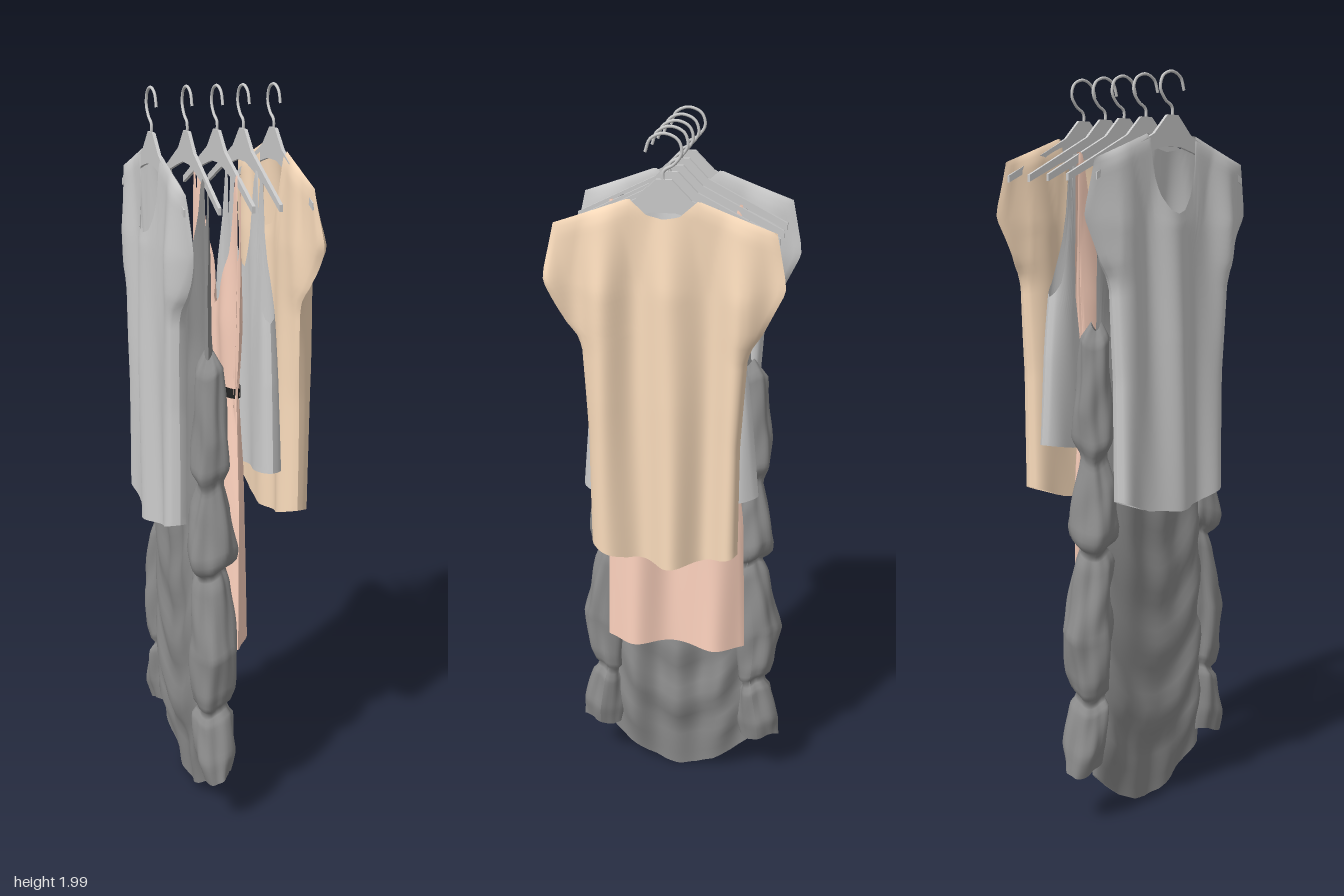
import * as THREE from 'three';

const clamp = THREE.MathUtils.clamp;
const cloth = (color) => new THREE.MeshStandardMaterial({ color, side: THREE.DoubleSide });

// Piecewise-linear rule through ascending [input, output] pairs
function rule(points) {
  return (v) => {
    if (v <= points[0][0]) return points[0][1];
    for (let i = 1; i < points.length; i++) {
      const [a, p] = points[i - 1], [b, q] = points[i];
      if (v <= b) return p + (q - p) * (v - a) / (b - a);
    }
    return points[points.length - 1][1];
  };
}

// Grid surface from a point function f(u, v), u and v in 0..1
function surface(f, nu, nv, flip) {
  const pos = [], idx = [];
  for (let j = 0; j <= nv; j++) for (let i = 0; i <= nu; i++) pos.push(...f(i / nu, j / nv));
  for (let j = 0; j < nv; j++) for (let i = 0; i < nu; i++) {
    const a = j * (nu + 1) + i, b = a + 1, c = a + nu + 1, d = c + 1;
    if (flip) idx.push(a, b, c, b, d, c);
    else idx.push(a, c, b, b, c, d);
  }
  const g = new THREE.BufferGeometry();
  g.setAttribute('position', new THREE.Float32BufferAttribute(pos, 3));
  g.setIndex(idx);
  g.computeVertexNormals();
  return g;
}

// Hanging garment: a front (-x) and a back (+x) panel that meet at the side edges
function garment(name, { curl = 0, grow = 0, swag = 0, pinch = 0.25, ...o }) {
  const group = new THREE.Group();
  group.name = name;
  const width = rule(o.width), depth = rule(o.depth), shoulder = rule(o.shoulder);
  for (const side of [-1, 1]) {
    const top = rule(side < 0 ? o.front : o.back), hem = rule(o.hem);
    const point = (u, v) => {
      const s = u * 2 - 1, a = Math.abs(s);
      const y = THREE.MathUtils.lerp(top(a), hem(a), v ** 1.25);
      const z = s * width(y);
      const wave = Math.cos(2 * Math.PI * (z - o.foldAt) / o.pitch);
      const edge = Math.sqrt(Math.max(0, 1 - a ** 6));
      const drop = shoulder(a) - y;
      const close = Math.sqrt(clamp(drop / 0.035, 0, 1)), loose = clamp(drop / 0.22, 0, 1);
      const fold = depth(y) * (pinch + (1 - pinch) * (0.5 + 0.5 * wave));
      const h = Math.max(0.009, fold) * edge * close * o.open(y) + grow;
      const sway = loose * (o.sway * wave + 0.003 * Math.sin(z * 51 + y * 4) + curl * clamp((Math.abs(z) - 0.21) / 0.09, 0, 1));
      const drape = swag * edge * Math.sin(32 * (y - 6 * z * z)) * clamp(1.1 - y, 0, 1) * clamp(h * 30, 0, 1);
      return [o.x + sway + side * (h + drape), y, z];
    };
    const mesh = new THREE.Mesh(surface(point, 64, 48, side < 0), cloth(o.color));
    mesh.name = side < 0 ? 'frontPanel' : 'backPanel';
    group.add(mesh);
  }
  return group;
}

// Flat shoulder hanger with a wire hook
function hanger(x, yaw) {
  const group = new THREE.Group();
  group.name = 'hanger';
  const mat = new THREE.MeshStandardMaterial({ color: 0xcccccc });
  const half = [[0.02, 1.885], [0.07, 1.835], [0.17, 1.785], [0.28, 1.73], [0.28, 1.712], [0.17, 1.763], [0.08, 1.79], [0.03, 1.803]];
  const outline = [...half, ...half.map(([z, y]) => [-z, y]).reverse()];
  const shape = new THREE.Shape(outline.map(([z, y]) => new THREE.Vector2(z, y)));
  const geo = new THREE.ExtrudeGeometry(shape, { depth: 0.009, bevelEnabled: false });
  geo.translate(0, 0, -0.0045).rotateY(-Math.PI / 2);
  const body = new THREE.Mesh(geo, mat);
  body.name = 'hangerArms';
  const path = [[0, 1.87], [0, 1.905], [-0.025, 1.922], [-0.044, 1.95], [-0.035, 1.982], [0, 1.996], [0.033, 1.982], [0.046, 1.95]];
  const curve = new THREE.CatmullRomCurve3(path.map(([z, y]) => new THREE.Vector3(0, y, z)));
  const hook = new THREE.Mesh(new THREE.TubeGeometry(curve, 40, 0.004, 8), mat);
  hook.name = 'hook';
  group.add(body, hook);
  group.position.x = x;
  group.rotation.y = yaw;
  return group;
}

// Gathered sleeve: puffs sagging over ties; rows are y, centre z, half width, half depth
function puffSleeve(side, color) {
  const rows = [
    [1.34, 0.19, 0.015, 0.012], [1.30, 0.195, 0.04, 0.035], [1.12, 0.2, 0.053, 0.046], [1.03, 0.2, 0.052, 0.053],
    [0.99, 0.2, 0.033, 0.032], [0.92, 0.2, 0.046, 0.052], [0.80, 0.205, 0.064, 0.068], [0.765, 0.205, 0.058, 0.062],
    [0.745, 0.2, 0.034, 0.038], [0.71, 0.2, 0.05, 0.05], [0.52, 0.225, 0.068, 0.062], [0.40, 0.22, 0.058, 0.058],
    [0.36, 0.215, 0.05, 0.05], [0.345, 0.215, 0.032, 0.036], [0.32, 0.222, 0.046, 0.055], [0.21, 0.238, 0.06, 0.055],
    [0.15, 0.242, 0.056, 0.038],
  ];
  const column = (k) => rule(rows.map((r) => [r[0], r[k]]).reverse());
  const [cz, rz, rx] = [1, 2, 3].map(column);
  const point = (u, v) => {
    const y = 1.34 - 1.19 * v, t = u * Math.PI * 2;
    const pleat = 1 + 0.06 * Math.sin(t * 5 + y * 9) + 0.05 * Math.sin(t * 3 - y * 31) + 0.03 * Math.sin(t * 9 + y * 5);
    return [-0.09 + rx(y) * pleat * Math.cos(t), y + 0.012 * Math.sin(t * 2), side * (cz(y) + rz(y) * pleat * Math.sin(t))];
  };
  const mesh = new THREE.Mesh(surface(point, 48, 90, side > 0), cloth(color));
  mesh.name = 'puffSleeve';
  return mesh;
}

export function createModel() {
  const model = new THREE.Group();
  model.name = 'clothesOnHangers';
  for (const [x, yaw] of [[-0.18, 0], [-0.085, -0.025], [-0.004, 0], [0.068, 0], [0.152, 0.01]]) model.add(hanger(x, yaw));
  const fullyOpen = () => 1;

  // Two short-sleeved shirts with a scooped front neck
  const shirt = {
    width: [[0.84, 0.2], [1.2, 0.202], [1.44, 0.217], [1.475, 0.23], [1.5, 0.25], [1.62, 0.308], [1.65, 0.306], [1.76, 0.283], [1.84, 0.27]],
    depth: [[0.84, 0.045], [1.3, 0.043], [1.6, 0.036], [1.72, 0.022], [1.84, 0.009]],
    shoulder: [[0, 1.84], [0.3, 1.838], [1, 1.765]],
    front: [[0, 1.63], [0.1, 1.64], [0.2, 1.68], [0.27, 1.74], [0.32, 1.836], [1, 1.765]],
    back: [[0, 1.79], [0.15, 1.797], [0.32, 1.836], [1, 1.765]],
    hem: [[0, 0.84], [0.5, 0.85], [1, 0.885]],
    open: fullyOpen,
  };
  model.add(garment('beigeShirt', { ...shirt, x: 0.155, color: 0xfadcbc, foldAt: -0.02, pitch: 0.177, sway: 0.01, curl: 0.025 }));
  model.add(garment('greyShirt', { ...shirt, x: -0.179, color: 0xcccccc, foldAt: 0, pitch: 0.21, sway: 0.003, curl: 0.02 }));

  // Flared tank top
  const tankTop = [[0, 1.5], [0.25, 1.52], [0.5, 1.62], [0.62, 1.8], [0.72, 1.8], [0.8, 1.58], [0.9, 1.45], [1, 1.41]];
  model.add(garment('tankTop', {
    x: 0.07, color: 0xcccccc, foldAt: 0.005, pitch: 0.205, sway: 0.004, open: fullyOpen,
    width: [[1, 0.242], [1.25, 0.22], [1.42, 0.2], [1.6, 0.18], [1.8, 0.17]],
    depth: [[1, 0.038], [1.4, 0.033], [1.6, 0.022], [1.8, 0.01]],
    shoulder: [[0, 1.81]], front: tankTop, back: tankTop, hem: [[0, 0.99], [0.6, 1], [1, 1.015]],
  }));

  // Sleeveless dress with narrow straps and a belt
  const dressTop = [[0, 1.42], [0.3, 1.46], [0.65, 1.58], [0.85, 1.79], [0.93, 1.79], [0.95, 1.6], [1, 1.42]];
  const dress = {
    x: -0.005, foldAt: 0.11, pitch: 0.22, sway: 0.005, open: fullyOpen, shoulder: [[0, 1.8]],
    width: [[0.5, 0.2], [0.9, 0.19], [1.22, 0.155], [1.42, 0.185], [1.6, 0.19], [1.8, 0.19]],
    depth: [[0.5, 0.043], [1, 0.035], [1.22, 0.021], [1.4, 0.026], [1.6, 0.014], [1.8, 0.008]],
  };
  model.add(garment('peachDress', { ...dress, color: 0xfdd2be, front: dressTop, back: dressTop, hem: [[0, 0.5], [1, 0.495]] }));
  model.add(garment('belt', {
    ...dress, color: 0x222222, grow: 0.004, front: [[0, 1.232]], back: [[0, 1.232]], hem: [[0, 1.205]],
    width: [[1, 0.158]],
  }));

  // Long draped gown, closing to a pouch at the hem, with gathered sleeves
  const gownColor = 0x8c8c8c;
  const gownTop = [[0, 1.5], [0.4, 1.55], [0.7, 1.7], [0.8, 1.785], [0.92, 1.775], [1, 1.5]];
  const gown = garment('darkGown', {
    x: -0.09, color: gownColor, foldAt: 0, pitch: 0.13, sway: 0.004, swag: 0.011, pinch: 0.72,
    open: rule([[0.005, 0.1], [0.1, 0.6], [0.2, 1]]),
    width: [[0, 0.2], [0.12, 0.21], [0.5, 0.215], [1, 0.2], [1.35, 0.19], [1.8, 0.19]],
    depth: [[0.01, 0.003], [0.1, 0.022], [0.3, 0.052], [0.8, 0.06], [1.25, 0.042], [1.36, 0.02], [1.8, 0.01]],
    shoulder: [[0, 1.8]], front: gownTop, back: gownTop,
    hem: [[0, 0.005], [0.25, 0.013], [0.5, 0.036], [0.75, 0.075], [1, 0.125]],
  });
  gown.add(puffSleeve(1, gownColor), puffSleeve(-1, gownColor));
  model.add(gown);
  return model;
}
